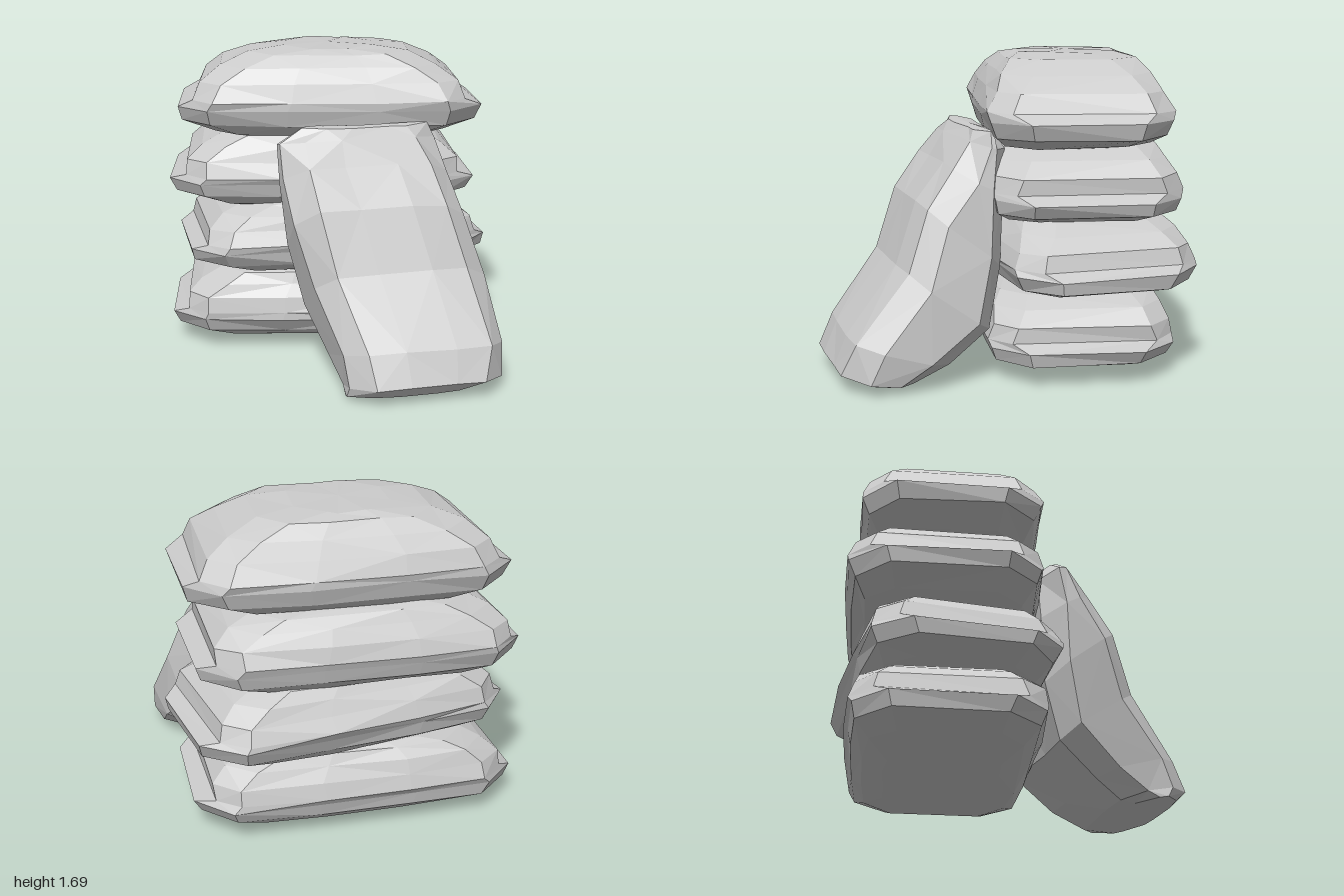
import * as THREE from 'three';

const material = new THREE.MeshStandardMaterial({ color: 0xcccccc, flatShading: true });

// Small seeded generator for the lumpy, hand-cut facets
function seeded(seed) {
  let s = seed;
  return () => (s = (s * 16807) % 2147483647) / 2147483647 - 0.5;
}

// A section is a chamfered rectangle spanning x0..x1, between a front and a back [y, z] point,
// turned about its own middle by yaw.
function section({ x0, x1, front, back, chamfer, yaw }) {
  const c = Math.min(chamfer / Math.hypot(front[0] - back[0], front[1] - back[1]), 0.4);
  const a = Math.min(chamfer / (x1 - x0), 0.3);
  const outline = [
    [a, 1], [0.36, 1.02], [0.66, 1.02], [1 - a, 1], [1, 1 - c], [1, c],
    [1 - a, 0], [0.64, -0.02], [0.34, -0.02], [a, 0], [0, c], [0, 1 - c],
  ];
  return outline.map(([u, v]) => {
    const dx = (x1 - x0) * (u - 0.5);
    const dz = (front[1] - back[1]) * (v - 0.5);
    return new THREE.Vector3(
      (x0 + x1) / 2 + dx * Math.cos(yaw) + dz * Math.sin(yaw),
      THREE.MathUtils.lerp(back[0], front[0], v),
      (front[1] + back[1]) / 2 - dx * Math.sin(yaw) + dz * Math.cos(yaw),
    );
  });
}

// Skin a run of sections, close both ends and roughen the corners
function sackMesh(name, sections, seed, rough) {
  const random = seeded(seed);
  const rings = sections.map(section);
  const n = rings[0].length;
  const points = rings.flat();
  const index = [];
  for (let i = 0; i < rings.length - 1; i++) {
    for (let j = 0; j < n; j++) {
      const k = (j + 1) % n;
      const a = i * n + j, b = i * n + k, c = b + n, d = a + n;
      if ((i + j) % 2) index.push(a, b, c, a, c, d);
      else index.push(a, b, d, b, c, d);
    }
  }
  const middle = (ring) => ring.reduce((sum, p) => sum.add(p), new THREE.Vector3()).divideScalar(n);
  const bottom = points.length, top = bottom + 1;
  points.push(middle(rings[0]), middle(rings[rings.length - 1]));
  const last = (rings.length - 1) * n;
  for (let j = 0; j < n; j++) {
    const k = (j + 1) % n;
    index.push(bottom, k, j, top, last + j, last + k);
  }
  for (const p of points) {
    p.x += random() * rough;
    p.y = Math.max(0, p.y + random() * rough * 0.6);
    p.z += random() * rough;
  }
  const geometry = new THREE.BufferGeometry().setFromPoints(points);
  geometry.setIndex(index);
  geometry.computeVertexNormals();
  const mesh = new THREE.Mesh(geometry, material);
  mesh.name = name;
  return mesh;
}

// Lying sack profile: [height fraction, inset of ends, inset of long sides, corner chamfer]
const PROFILE = [
  [0, 0.42, 0.2, 0.14], [0.08, 0.21, 0.1, 0.14], [0.2, 0.03, 0.04, 0.17], [0.37, 0, 0.01, 0.18],
  [0.46, 0.09, 0, 0.12], [0.65, 0.13, 0.04, 0.12], [0.82, 0.24, 0.09, 0.14],
  [0.95, 0.4, 0.15, 0.14], [1, 0.6, 0.22, 0.14],
];

function lyingSack(name, { x, y, z, yaw, ends, sides }, seed) {
  const sections = PROFILE.map(([t, endInset, sideInset, chamfer]) => {
    const upper = t > 0.5;
    const end = endInset * (upper ? ends : 1);
    const side = sideInset * (upper ? sides : 1);
    const height = THREE.MathUtils.lerp(y[0], y[1], t);
    return {
      x0: x[0] + end, x1: x[1] - end,
      front: [height, z[1] - side], back: [height, z[0] + side],
      chamfer, yaw,
    };
  });
  return sackMesh(name, sections, seed, 0.02);
}

// Leaning sack from its foot up: [front y, front z, back y, back z, x0, x1]
const LEANING = [
  [0.04, 0.91, 0.01, 0.66, 0.0, 0.68],
  [0.1, 0.94, 0.02, 0.56, -0.01, 0.82],
  [0.27, 0.88, 0.12, 0.4, -0.05, 0.84],
  [0.6, 0.61, 0.28, 0.18, -0.18, 0.76],
  [0.92, 0.5, 0.6, 0.11, -0.26, 0.67],
  [1.12, 0.36, 0.95, 0.08, -0.31, 0.6],
  [1.25, 0.26, 1.2, 0.07, -0.32, 0.55],
  [1.31, 0.21, 1.3, 0.1, -0.19, 0.5],
];

export function createModel() {
  const group = new THREE.Group();
  group.name = 'sandbagPile';

  // Stack of four, bottom to top
  const stack = [
    ['bottomSack', { x: [-0.91, 0.82], y: [0.03, 0.46], z: [-0.88, 0.11], yaw: -0.02, ends: 0.7, sides: 0.55 }],
    ['lowerMiddleSack', { x: [-0.86, 0.87], y: [0.43, 0.86], z: [-0.9, 0.1], yaw: 0.14, ends: 0.8, sides: 0.8 }],
    ['upperMiddleSack', { x: [-0.91, 0.8], y: [0.8, 1.24], z: [-0.92, 0.09], yaw: -0.02, ends: 0.75, sides: 0.7 }],
    ['topSack', { x: [-0.86, 0.84], y: [1.19, 1.69], z: [-0.86, 0.1], yaw: -0.035, ends: 1, sides: 1 }],
  ];
  stack.forEach(([name, shape], i) => group.add(lyingSack(name, shape, 101 + i * 977)));

  // Sack propped against the front
  group.add(sackMesh('leaningSack', LEANING.map(([fy, fz, by, bz, x0, x1]) => ({
    x0, x1, front: [fy, fz], back: [by, bz], chamfer: 0.12, yaw: 0.18,
  })), 4242, 0.025));

  return group;
}
